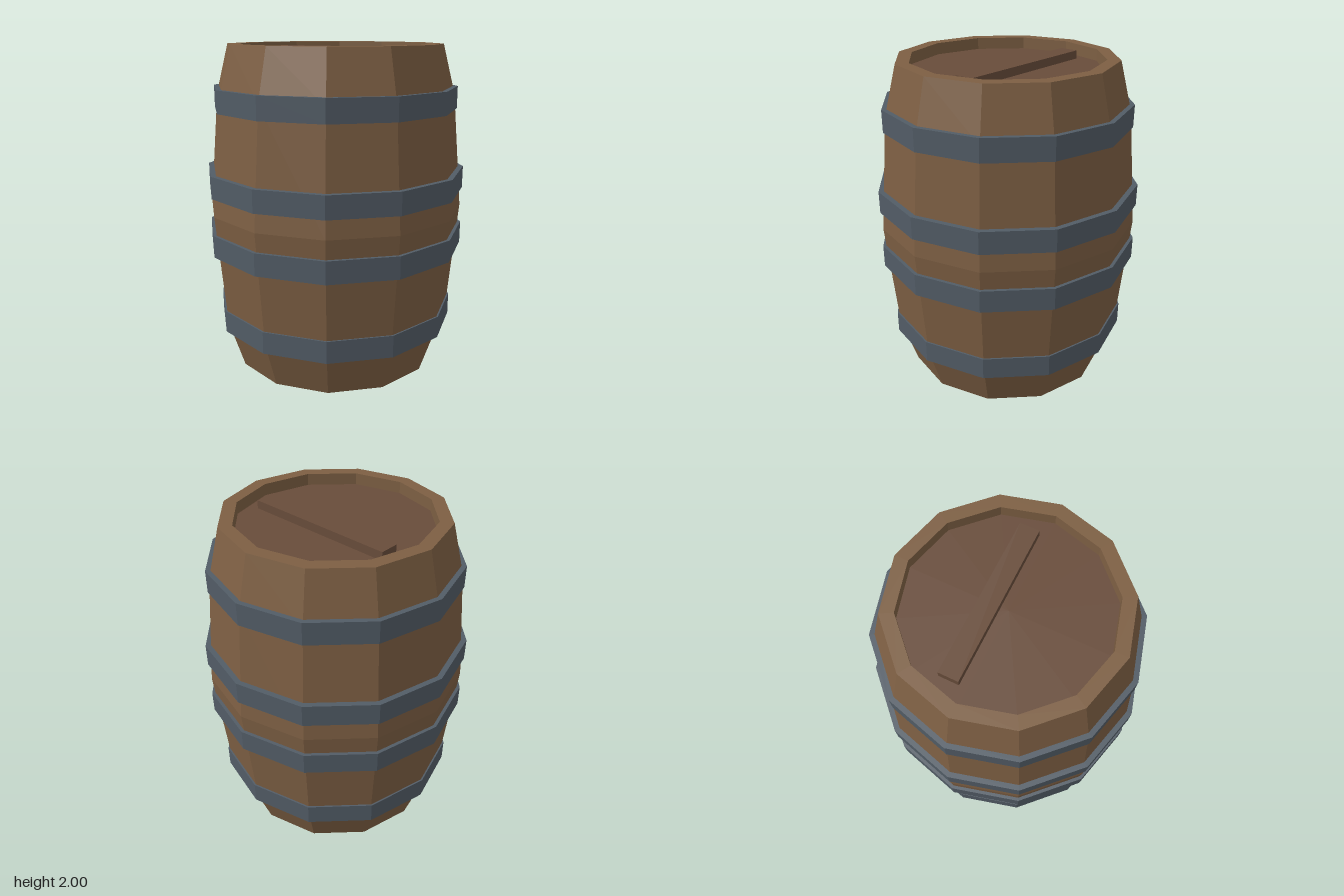
import * as THREE from 'three';

const SIDES = 12;

function material(color) {
  return new THREE.MeshStandardMaterial({ color, flatShading: true });
}

// Twelve-sided solid turned from [radius, height] points, listed bottom to top on the outside
function turned(name, points, mat) {
  const profile = points.map(([r, y]) => new THREE.Vector2(r, y));
  const mesh = new THREE.Mesh(new THREE.LatheGeometry(profile, SIDES), mat);
  mesh.name = name;
  return mesh;
}

export function createModel() {
  const barrel = new THREE.Group();
  barrel.name = 'barrel';
  const wood = material(0x7d5f43);
  const darkWood = material(0x684c3a);
  const iron = material(0x525c66);

  // Bulging body with a closed base and a raised rim
  barrel.add(turned('body', [
    [0, 0], [0.64, 0], [0.737, 0.3], [0.8, 1], [0.737, 1.7],
    [0.66, 2], [0.58, 2], [0.58, 1.93],
  ], wood));

  // Recessed lid
  barrel.add(turned('lid', [[0.58, 1.93], [0, 1.93]], darkWood));

  // Plank across the lid
  const plank = new THREE.Mesh(new THREE.BoxGeometry(0.945, 0.05, 0.115), darkWood);
  plank.name = 'lidPlank';
  plank.position.set(0, 1.955, -0.103);
  barrel.add(plank);

  // Iron hoops, mirrored above and below the middle
  const hoops = new THREE.Group();
  hoops.name = 'hoops';
  for (const [radius, offset] of [[0.81, 0.182], [0.755, 0.68]]) {
    for (const side of [-1, 1]) {
      const y = 1 + side * offset;
      const inner = radius - 0.05, bottom = y - 0.068, top = y + 0.068;
      hoops.add(turned(side > 0 ? 'upperHoop' : 'lowerHoop', [
        [inner, bottom], [radius, bottom], [radius, top], [inner, top], [inner, bottom],
      ], iron));
    }
  }
  barrel.add(hoops);

  return barrel;
}
